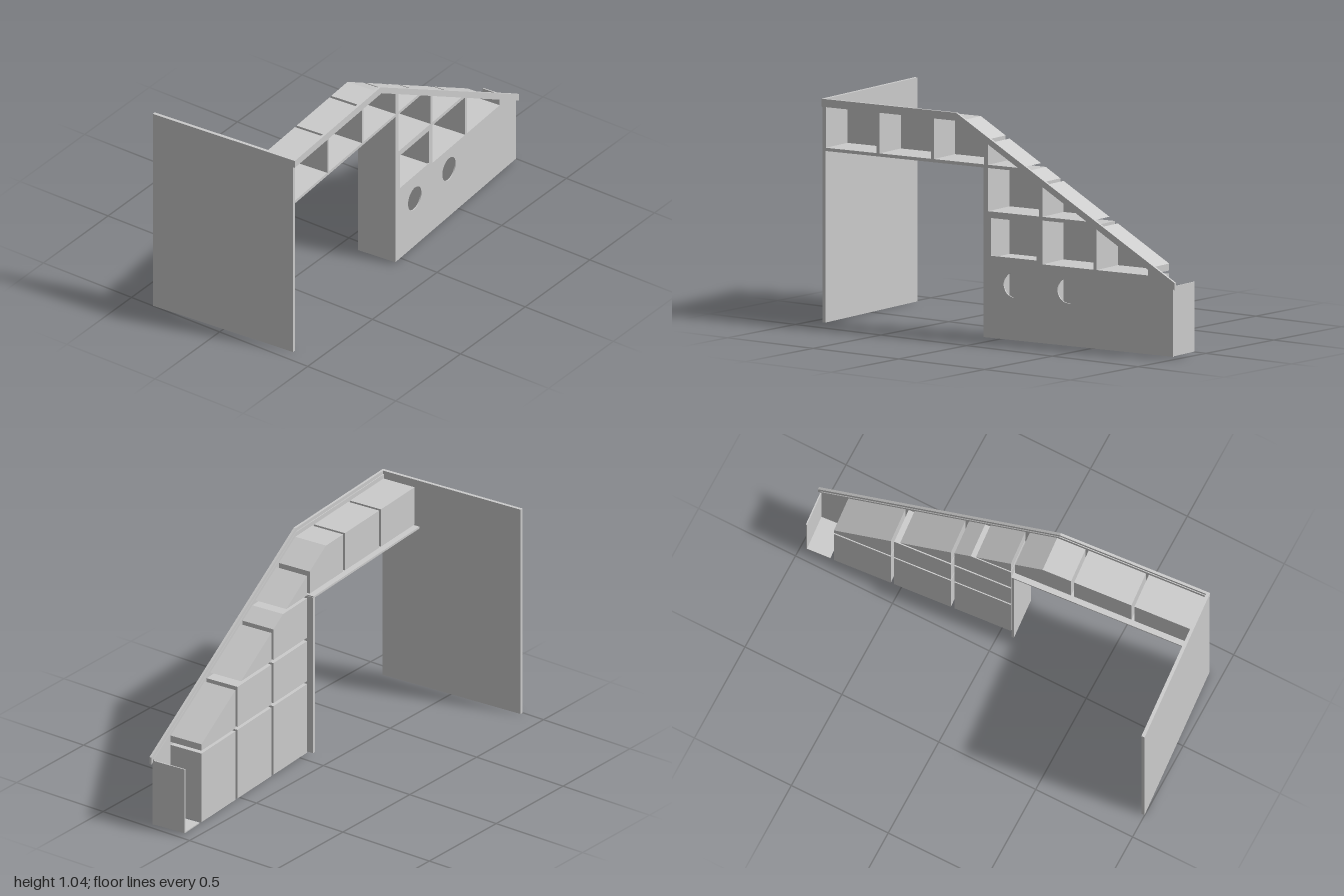
import * as THREE from 'three';

export function createModel() {
  const model = new THREE.Group();
  model.name = 'underStairShelving';
  const grey = new THREE.MeshStandardMaterial({ color: 0xcccccc, flatShading: true });
  const thin = new THREE.MeshStandardMaterial({ color: 0xcccccc, flatShading: true, side: THREE.DoubleSide });

  // The whole unit is turned slightly about the vertical axis
  const unit = new THREE.Group();
  unit.name = 'shelvingUnit';
  unit.rotation.y = Math.atan(0.0775);
  unit.position.x = 0.31;
  model.add(unit);

  const add = (name, geometry, material = grey) => {
    const mesh = new THREE.Mesh(geometry, material);
    mesh.name = name;
    unit.add(mesh);
    return mesh;
  };
  const box = (name, x0, x1, y0, y1, z0, z1) =>
    add(name, new THREE.BoxGeometry(x1 - x0, y1 - y0, z1 - z0)
      .translate((x0 + x1) / 2, (y0 + y1) / 2, (z0 + z1) / 2));
  const toShape = pts => new THREE.Shape(pts.map(p => new THREE.Vector2(...p)));

  // Side profiles are drawn as (z, y) and extruded towards -x
  const slab = (name, shape, x, depth) =>
    add(name, new THREE.ExtrudeGeometry(shape, { depth, bevelEnabled: false, curveSegments: 24 })
      .rotateY(-Math.PI / 2).translate(x, 0, 0));

  // Cut a convex (z, y) outline along the slope of the stair
  const over = ([z, y]) => y - (1.0 + 0.57 * (z - 0.19));
  const clip = pts => pts.flatMap((p, i) => {
    const q = pts[(i + 1) % pts.length], a = over(p), b = over(q), out = a <= 0 ? [p] : [];
    if (a * b < 0) {
      const t = a / (a - b);
      out.push([p[0] + t * (q[0] - p[0]), p[1] + t * (q[1] - p[1])]);
    }
    return out;
  });
  const cell = (z0, z1, y0, y1) => clip([[z0, y0], [z0, y1], [z1, y1], [z1, y0]]);

  // Thin-walled compartment: side walls around an outline plus a back
  const FRONT = -0.012, BACK = -0.185;
  const shell = (name, pts) => {
    const v = [];
    pts.forEach(([z, y], i) => {
      const [w, h] = pts[(i + 1) % pts.length];
      v.push(FRONT, y, z, BACK, y, z, BACK, h, w, FRONT, y, z, BACK, h, w, FRONT, h, w);
      if (i > 0 && i < pts.length - 1)
        v.push(BACK, pts[0][1], pts[0][0], BACK, y, z, BACK, h, w);
    });
    const g = new THREE.BufferGeometry();
    g.setAttribute('position', new THREE.Float32BufferAttribute(v, 3));
    g.computeVertexNormals();
    add(name, g, thin);
  };

  // Face sheet with an opening for every cubby
  const face = toShape([[0.93, 0.8], [0.93, 1.02], [0.2, 1.02], [-0.99, 0.342],
    [-0.99, 0.01], [0.05, 0.01], [0.05, 0.8]]);
  const cubbies = [
    [0.925, 0.645, 0.81, 0.999], [0.63, 0.345, 0.81, 0.999], [0.33, 0.052, 0.81, 0.999],
    [0.03, -0.25, 0.81, 0.999],
    [0.03, -0.25, 0.595, 0.795], [-0.268, -0.55, 0.595, 0.795],
    [0.03, -0.25, 0.375, 0.578], [-0.268, -0.55, 0.375, 0.578], [-0.567, -0.85, 0.375, 0.578],
  ];
  cubbies.forEach((c, i) => {
    shell('cubby', cell(...c));
    // One cubby has a narrower framed opening
    const opening = i === 6 ? cell(0.015, -0.237, 0.39, 0.565) : cell(...c);
    face.holes.push(new THREE.Path(opening.map(p => new THREE.Vector2(...p))));
  });

  // Closed lower cabinets, two with round openings
  for (const [z0, z1] of [[0.03, -0.25], [-0.268, -0.55], [-0.567, -0.85]])
    shell('lowerCabinet', cell(z0, z1, 0.012, 0.36));
  for (const z of [-0.113, -0.41])
    face.holes.push(new THREE.Path().absarc(z, 0.265, 0.058, 0, Math.PI * 2, true));
  slab('faceSheet', face, -0.01, 0.006);

  // Open end section: floor and end panel
  box('endFloor', BACK, -0.016, 0.012, 0.018, -0.988, -0.868);
  box('endPanel', BACK, -0.016, 0.012, 0.335, -0.99, -0.984);

  // Trim following the top edge and the slope
  slab('topTrim', toShape([[0.943, 1.037], [0.2, 1.037], [-1.003, 0.355],
    [-1.003, 0.32], [0.19, 1.0], [0.943, 1.0]]), 0, 0.012);

  // Shelf under the bridge, upright post and large wall panel
  box('bridgeShelf', -0.21, -0.01, 0.795, 0.805, 0.045, 0.93);
  box('uprightPost', -0.21, -0.01, 0.01, 0.8, 0.043, 0.056);
  box('wallPanel', -0.765, -0.009, 0, 1.037, 0.927, 0.943);

  return model;
}
